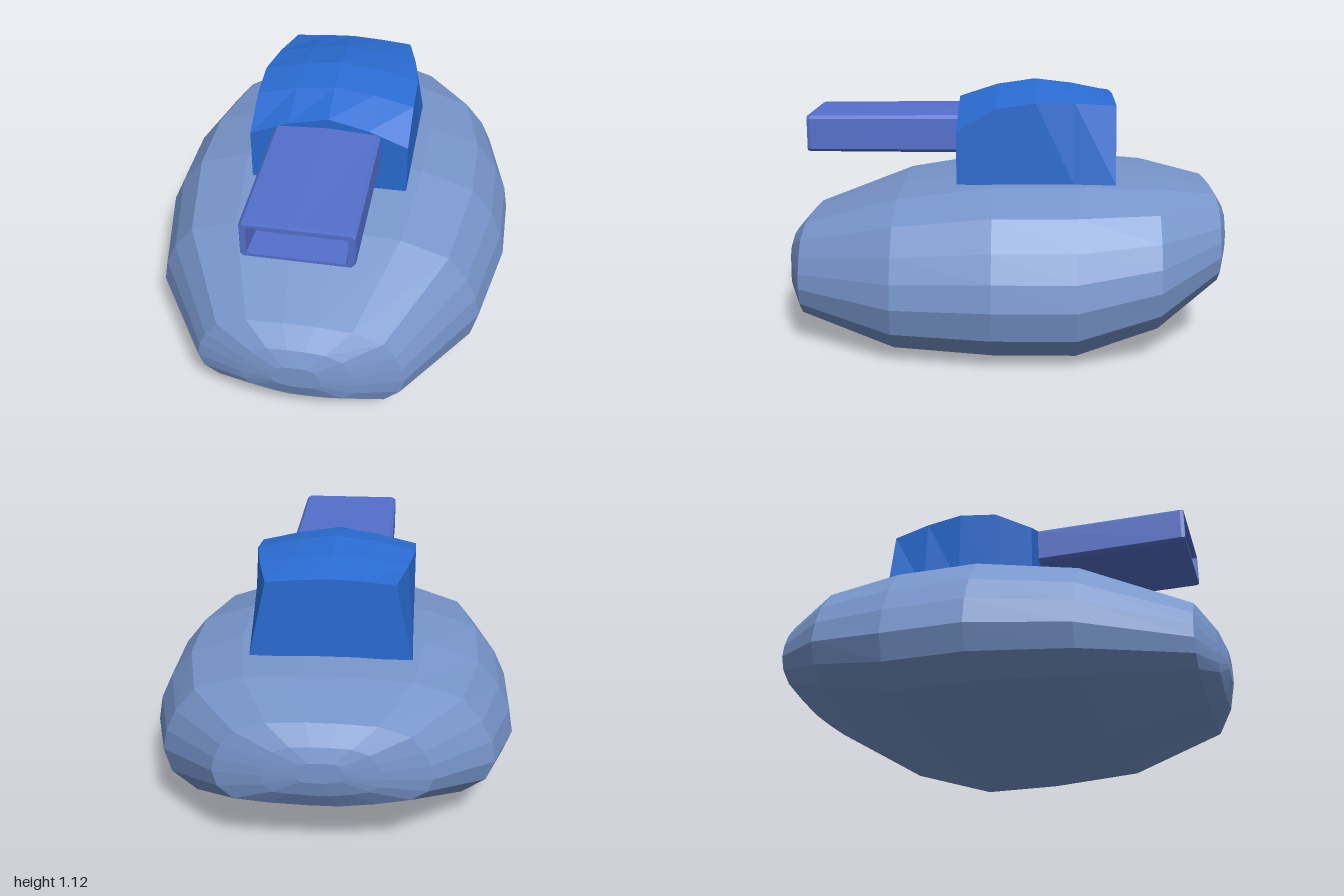
import * as THREE from 'three';

// Skins a list of rings (back to front, each counter-clockwise seen from +z) and caps both ends.
function loft(rings) {
  const pos = [];
  const tri = (a, b, c) => pos.push(...a, ...b, ...c);
  const n = rings[0].length;
  for (let i = 0; i < rings.length - 1; i++) {
    for (let j = 0; j < n; j++) {
      const k = (j + 1) % n;
      const a = rings[i][j], b = rings[i][k], c = rings[i + 1][k], d = rings[i + 1][j];
      tri(a, b, c);
      tri(a, c, d);
    }
  }
  const middle = (ring) => [0, 1, 2].map((q) => ring.reduce((s, p) => s + p[q], 0) / n);
  const first = rings[0], last = rings[rings.length - 1];
  const m0 = middle(first), m1 = middle(last);
  for (let j = 0; j < n; j++) {
    const k = (j + 1) % n;
    tri(m0, first[k], first[j]);
    tri(m1, last[j], last[k]);
  }
  const geometry = new THREE.BufferGeometry();
  geometry.setAttribute('position', new THREE.Float32BufferAttribute(pos, 3));
  geometry.computeVertexNormals();
  return geometry;
}

function part(name, rings, color) {
  const material = new THREE.MeshStandardMaterial({ color, flatShading: true });
  const mesh = new THREE.Mesh(loft(rings), material);
  mesh.name = name;
  return mesh;
}

// Hull: one unit cross-section scaled to each station; the underside is slightly lopsided.
function hull() {
  const upper = [[1, 0.38], [0.975, 0.54], [0.91, 0.7], [0.79, 0.87], [0.5, 0.98], [0.15, 1]];
  const lowerRight = [[-0.95, 0.23], [-0.81, 0.12], [-0.5, 0.05], [-0.15, 0]];
  const lowerLeft = [[0.15, 0], [0.5, 0.015], [0.81, 0.05], [0.96, 0.2]];
  const mirrored = upper.map(([u, t]) => [-u, t]).reverse();
  const section = [...upper, ...mirrored, ...lowerRight, ...lowerLeft];
  // z, half width, bottom, top
  const stations = [
    [-1, 0.1, 0.41, 0.5], [-0.98, 0.24, 0.34, 0.56], [-0.93, 0.44, 0.26, 0.64],
    [-0.65, 0.7, 0.1, 0.695], [-0.3, 0.8, 0, 0.715], [0.05, 0.8, 0, 0.713],
    [0.47, 0.715, 0.01, 0.65], [0.9, 0.44, 0.1, 0.5], [0.97, 0.24, 0.16, 0.42],
    [1, 0.1, 0.24, 0.35],
  ];
  const rings = stations.map(([z, w, b, t]) => section.map(([u, v]) => [u * w, b + v * (t - b), z]));
  return part('hull', rings, 0x7896cc);
}

// Turret: upright walls under a domed roof that narrows toward the back.
function turret() {
  // z, roof half width, roof edge height, roof ridge height
  const stations = [
    [-0.48, 0.27, 1.035, 1.055], [-0.3, 0.315, 1.05, 1.1], [-0.13, 0.345, 1.055, 1.12],
    [0.04, 0.345, 1.03, 1.095], [0.21, 0.345, 0.93, 1.04],
  ];
  const rings = stations.map(([z, w, edge, ridge]) => {
    const mid = edge + 0.63 * (ridge - edge);
    return [
      [0.345, 0.7, z], [w, edge, z], [w / 2, mid, z], [0, ridge, z],
      [-w / 2, mid, z], [-w, edge, z], [-0.345, 0.7, z],
    ];
  });
  return part('turret', rings, 0x2a6cd2);
}

// Barrel: flat bevelled box, slightly bulged at the root, with a hollow muzzle.
function barrel() {
  const ring = (z, w, h, bevel, bulge = 0) => {
    const half = [[w, -h + bevel], [w, h - bevel], [w - bevel, h], [0, h + bulge]];
    const top = half.concat([[-w + bevel, h], [-w, h - bevel]]);
    const bottom = [[-w, -h + bevel], [-w + bevel, -h], [0, -h - bulge], [w - bevel, -h]];
    return [...top, ...bottom].map(([x, y]) => [x - 0.005, y + 0.9, z]);
  };
  return part('barrel', [
    ring(0.1, 0.23, 0.083, 0.015, 0.012),
    ring(0.21, 0.23, 0.083, 0.015, 0.012),
    ring(0.86, 0.23, 0.079, 0.012),
    ring(0.875, 0.225, 0.077, 0.012),
    ring(0.875, 0.2, 0.065, 0.008),
    ring(0.74, 0.192, 0.062, 0.008),
  ], 0x5470cc);
}

export function createModel() {
  const model = new THREE.Group();
  model.name = 'turretedVehicle';
  model.add(hull(), turret(), barrel());
  return model;
}
